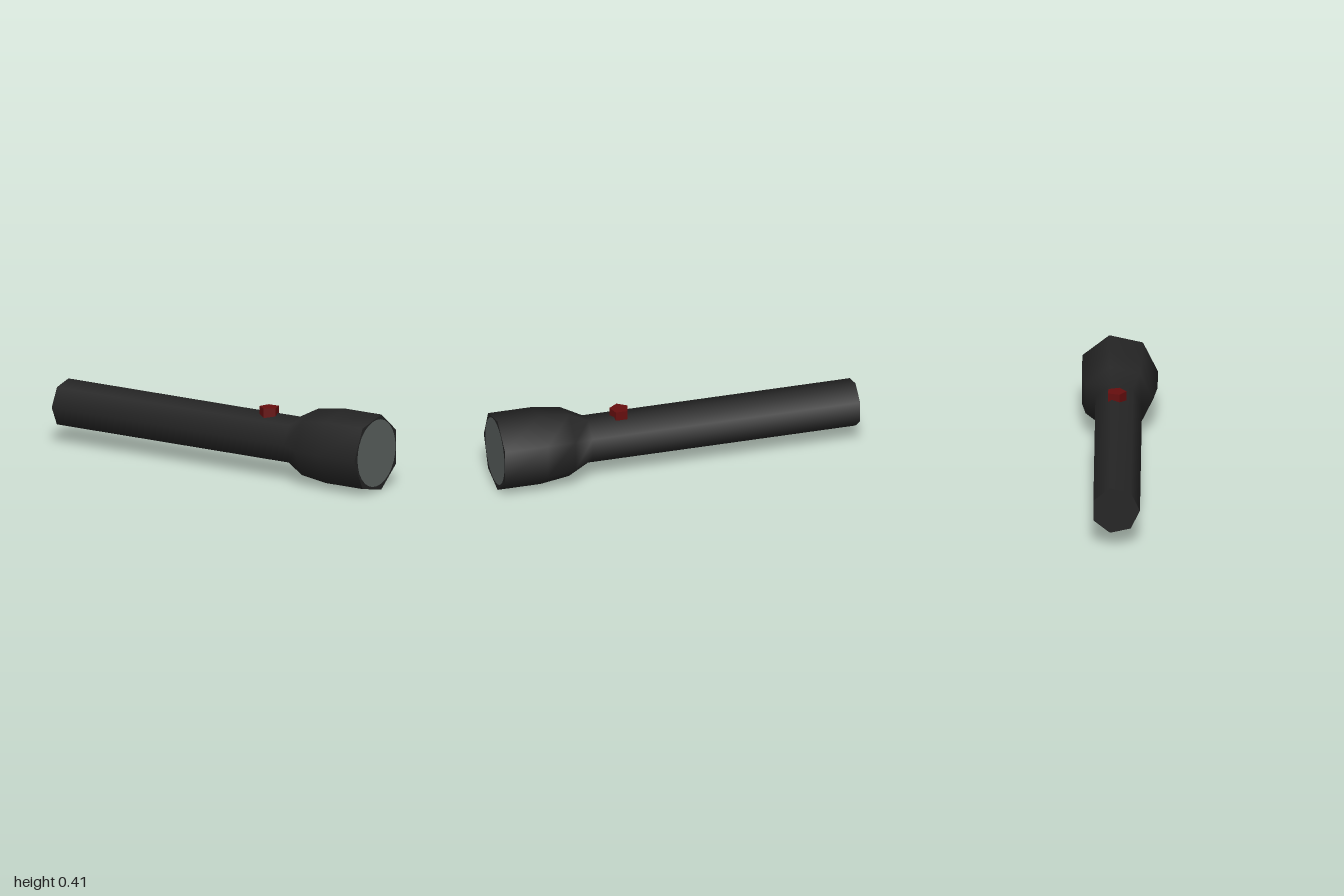
import * as THREE from 'three';

const SIDES = 7;
const AXIS_Y = 0.208, AXIS_Z = -0.0105;

export function createModel() {
  const casing = new THREE.MeshStandardMaterial({ name: 'black casing', color: 0x252525 });
  const glass = new THREE.MeshStandardMaterial({ name: 'grey glass', color: 0x5c6361 });
  const red = new THREE.MeshStandardMaterial({ name: 'dark red', color: 0x660e0e });

  const torch = new THREE.Group();
  torch.name = 'torch';
  const add = (name, geometry, material, x, y = AXIS_Y, z = AXIS_Z) => {
    const mesh = new THREE.Mesh(geometry, material);
    mesh.name = name;
    mesh.position.set(x, y, z);
    torch.add(mesh);
  };

  // Seven-sided handle flaring into the head, turned around the x axis
  const profile = [[0.131, -1], [0.131, 0.49], [0.19, 0.6], [0.2125, 0.76], [0.2125, 0.999]]
    .map(([r, x]) => new THREE.Vector2(r, x));
  add('body', new THREE.LatheGeometry(profile, SIDES).rotateZ(-Math.PI / 2), casing, 0);

  // Flat ends, each with a corner pointing to the front
  add('tailCap', new THREE.CircleGeometry(0.131, SIDES).rotateY(-Math.PI / 2), casing, -1);
  add('headRim', new THREE.CircleGeometry(0.2125, SIDES, Math.PI).rotateY(Math.PI / 2), casing, 0.999);

  // Round lens lying just over the rim
  add('lens', new THREE.CircleGeometry(0.183, 28).rotateY(Math.PI / 2), glass, 1, 0.212, -0.011);

  // Five-sided switch sunk into the top of the handle
  add('switchButton', new THREE.CylinderGeometry(0.054, 0.054, 0.07, 5), red, 0.308, 0.335, -0.015);

  // Facet the button sides
  const button = torch.getObjectByName('switchButton');
  button.geometry = button.geometry.toNonIndexed();
  button.geometry.computeVertexNormals();
  return torch;
}
